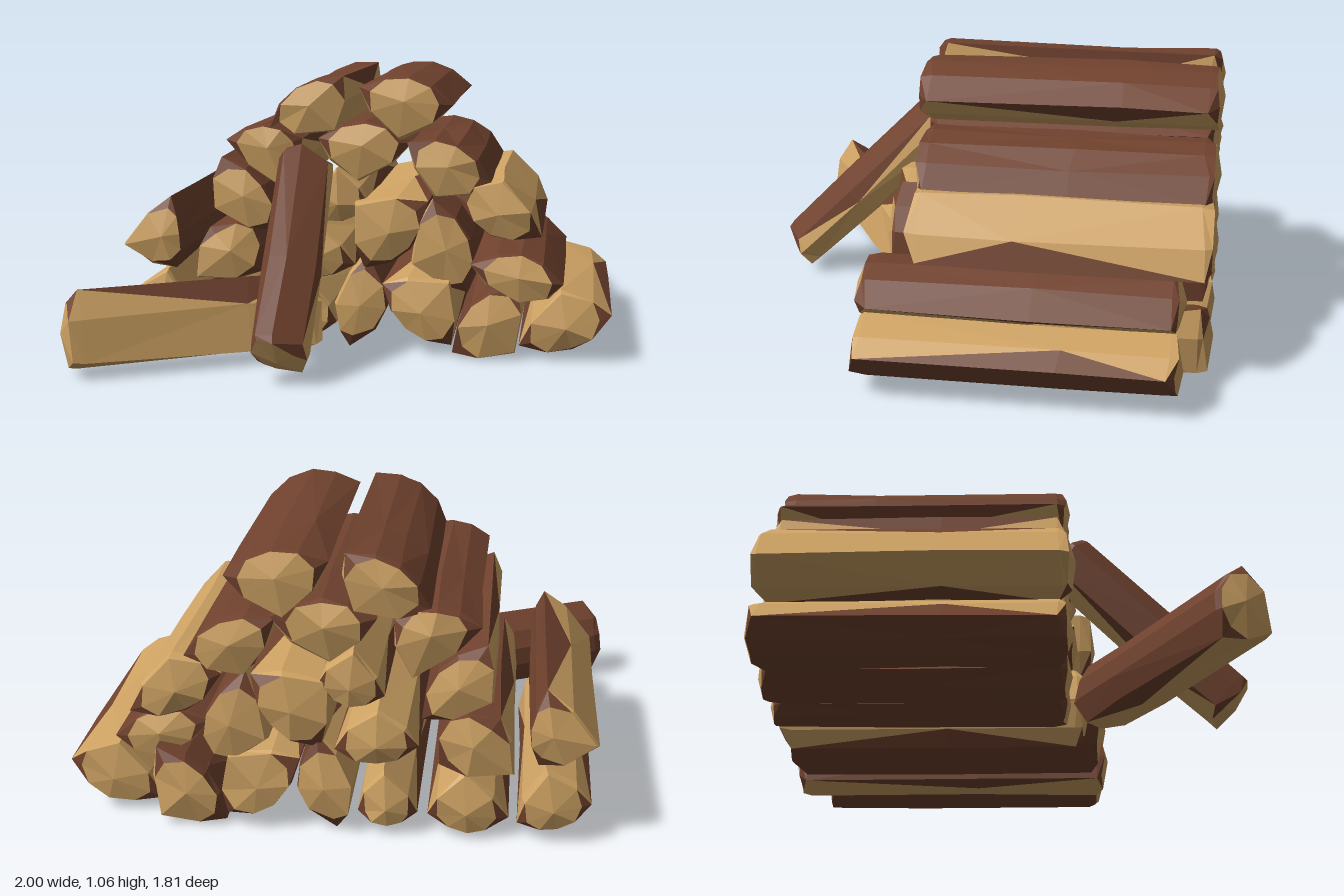
import * as THREE from 'three';

const bark = new THREE.MeshStandardMaterial({ color: 0x70422e });
bark.name = 'bark';
const wood = new THREE.MeshStandardMaterial({ color: 0xcfa364 });
wood.name = 'splitWood';

// Small seeded generator for hand-cut irregularity
let seed = 11;
const jitter = (a) => {
  seed = (seed * 16807) % 2147483647;
  return (seed / 2147483647 * 2 - 1) * a;
};

const BARK_POINTS = 5;

// Wedge outline: a bark arc from start to end, then two slightly swollen split sides meeting at the apex
function wedge(start, end, apex, bulge) {
  const [s, e, p] = [start, end, apex].map(([x, y]) => new THREE.Vector2(x, y));
  const centre = s.clone().add(e).add(p).divideScalar(3);
  const swell = (a, b, t, amount) => {
    const point = a.clone().lerp(b, t);
    const out = new THREE.Vector2(a.y - b.y, b.x - a.x).normalize();
    if (out.dot(point.clone().sub(centre)) < 0) out.negate();
    return point.addScaledVector(out, amount);
  };
  const height = bulge * s.distanceTo(e);
  const outline = [];
  for (let i = 0; i < BARK_POINTS; i++) {
    const t = i / (BARK_POINTS - 1);
    outline.push(swell(s, e, t, height * 4 * t * (1 - t)));
  }
  outline.push(swell(e, p, 0.4, 0.022), p, swell(p, s, 0.6, 0.022));
  return outline;
}

// Split log running along z, with bark on the arc and bare wood elsewhere
function makeLog(name, back, front, start, end, apex, bulge = 0.2) {
  const outline = wedge(start, end, apex, bulge);
  const n = outline.length;
  const centre = outline.reduce((sum, p) => sum.add(p), new THREE.Vector2()).divideScalar(n);
  const counterClockwise = THREE.ShapeUtils.area(outline) > 0;

  // Cross-sections, drawn in and roughened at both cut ends
  const stations = [back + 0.015, back + 0.045, (back + front) / 2 + jitter(0.2), front - 0.045, front - 0.015];
  const rings = stations.map((z, r) => outline.map((p, i) => {
    const isEnd = r === 0 || r === 4;
    const isCorner = i === 0 || i === BARK_POINTS - 1;
    const k = isEnd ? (isCorner ? 0.72 : 0.94) : 1;
    const rough = r === 2 ? 0.01 : 0.004;
    return [
      centre.x + (p.x - centre.x) * k + jitter(rough),
      centre.y + (p.y - centre.y) * k + jitter(rough),
      z + jitter(0.012),
    ];
  }));

  const barkFaces = [];
  const woodFaces = [];
  const tri = (list, a, b, c) => list.push(...a, ...(counterClockwise ? [...b, ...c] : [...c, ...b]));
  for (let i = 0; i < n; i++) {
    const j = (i + 1) % n;
    const isBark = i < BARK_POINTS - 1;
    // Triangles touching a bark corner keep a ragged tongue of bark on the split side
    const nearI = isBark || i === BARK_POINTS - 1 ? barkFaces : woodFaces;
    const nearJ = isBark || i === n - 1 ? barkFaces : woodFaces;
    for (let r = 0; r < 4; r++) {
      const [a, b, c, d] = [rings[r][i], rings[r][j], rings[r + 1][j], rings[r + 1][i]];
      if ((i + r) % 2) {
        tri(nearJ, a, b, c);
        tri(nearI, a, c, d);
      } else {
        tri(nearI, a, b, d);
        tri(nearJ, b, c, d);
      }
    }
    // Faceted end caps
    tri(woodFaces, rings[4][i], rings[4][j], [centre.x, centre.y, front + 0.01]);
    tri(woodFaces, rings[0][j], rings[0][i], [centre.x, centre.y, back - 0.01]);
  }

  const geometry = new THREE.BufferGeometry();
  geometry.setAttribute('position', new THREE.Float32BufferAttribute([...barkFaces, ...woodFaces], 3));
  geometry.addGroup(0, barkFaces.length / 3, 0);
  geometry.addGroup(barkFaces.length / 3, woodFaces.length / 3, 1);
  geometry.computeVertexNormals();
  const mesh = new THREE.Mesh(geometry, [bark, wood]);
  mesh.name = name;
  return mesh;
}

export function createModel() {
  const group = new THREE.Group();
  group.name = 'woodpile';
  const add = (...spec) => {
    const log = makeLog(...spec);
    group.add(log);
    return log;
  };

  // Top of the pile
  add('topLeftLog', -0.9, 0.23, [-0.035, 1.05], [-0.33, 0.85], [-0.06, 0.84]);
  add('topRightLog', -0.9, 0.23, [0.39, 0.95], [0.02, 1.01], [0.18, 0.81]);
  add('upperLeftLog', -0.9, 0.22, [-0.2, 0.81], [-0.5, 0.8], [-0.26, 0.6]);
  add('upperMiddleLog', -0.9, 0.22, [0.23, 0.8], [-0.14, 0.81], [0.02, 0.65]);
  add('upperRightLog', -0.9, 0.22, [0.54, 0.65], [0.21, 0.8], [0.32, 0.59]);

  // Left flank
  add('leftWallLog', -0.9, 0.22, [-0.3, 0.44], [-0.52, 0.73], [-0.55, 0.53]);
  add('leftShelfLog', -0.9, 0.22, [-0.36, 0.28], [-0.57, 0.455], [-0.63, 0.25], 0.42);
  add('farLeftLog', -0.9, 0.23, [-0.71, 0.29], [-0.73, 0.57], [-0.92, 0.38], 0.15);

  // Core and right flank
  add('coreLog', -0.9, 0.25, [-0.17, 0.52], [0.07, 0.56], [-0.06, 0.7]);
  add('lowerCoreLog', -0.9, 0.25, [-0.29, 0.34], [0.01, 0.32], [-0.15, 0.48]);
  add('centreRightLog', -0.9, 0.33, [0.06, 0.32], [0.3, 0.59], [0.02, 0.58]);
  add('rightInnerLog', -0.9, 0.33, [0.46, 0.24], [0.32, 0.6], [0.24, 0.35]);
  add('rightUpperLog', -0.9, 0.22, [0.4, 0.59], [0.735, 0.44], [0.58, 0.66]);
  add('rightShelfLog', -0.8, 0.39, [0.82, 0.29], [0.47, 0.36], [0.65, 0.22], 0.23);

  // Bottom row
  add('farRightLog', -0.8, 0.38, [0.65, 0.05], [1, 0.18], [0.81, 0.27]);
  add('bottomRightLog', -0.9, 0.39, [0.65, 0.29], [0.4, 0.02], [0.64, 0.03]);
  add('bottomMiddleLog', -0.9, 0.36, [0.13, 0.27], [0.4, 0.04], [0.39, 0.29]);
  add('bottomCentreLog', -0.9, 0.3, [0, 0.005], [0.07, 0.37], [-0.06, 0.18], 0.3);
  add('bottomInnerLog', -0.9, 0.22, [-0.29, 0.08], [-0.07, 0.08], [-0.17, 0.25]);
  add('bottomLeftLog', -0.9, 0.22, [-0.61, 0.08], [-0.32, 0.08], [-0.45, 0.25]);
  add('bottomFarLeftLog', -0.9, 0.22, [-0.9, 0.15], [-0.64, 0.06], [-0.74, 0.28]);

  // Fallen log lying in front of the pile
  const fallen = add('fallenLog', -0.47, 0.5, [0.02, 0.315], [-0.08, 0.03], [0.1, 0.06], 0.25);
  fallen.rotation.y = -1.06;
  fallen.position.set(-0.53, 0, 0.56);

  // Log propped against the front of the pile
  const leaning = add('leaningLog', -0.45, 0.46, [0.09, 0.02], [-0.09, -0.09], [0.08, -0.1], 0.65);
  leaning.rotation.x = Math.PI / 4;
  leaning.position.set(-0.175, 0.43, 0.53);
  return group;
}
